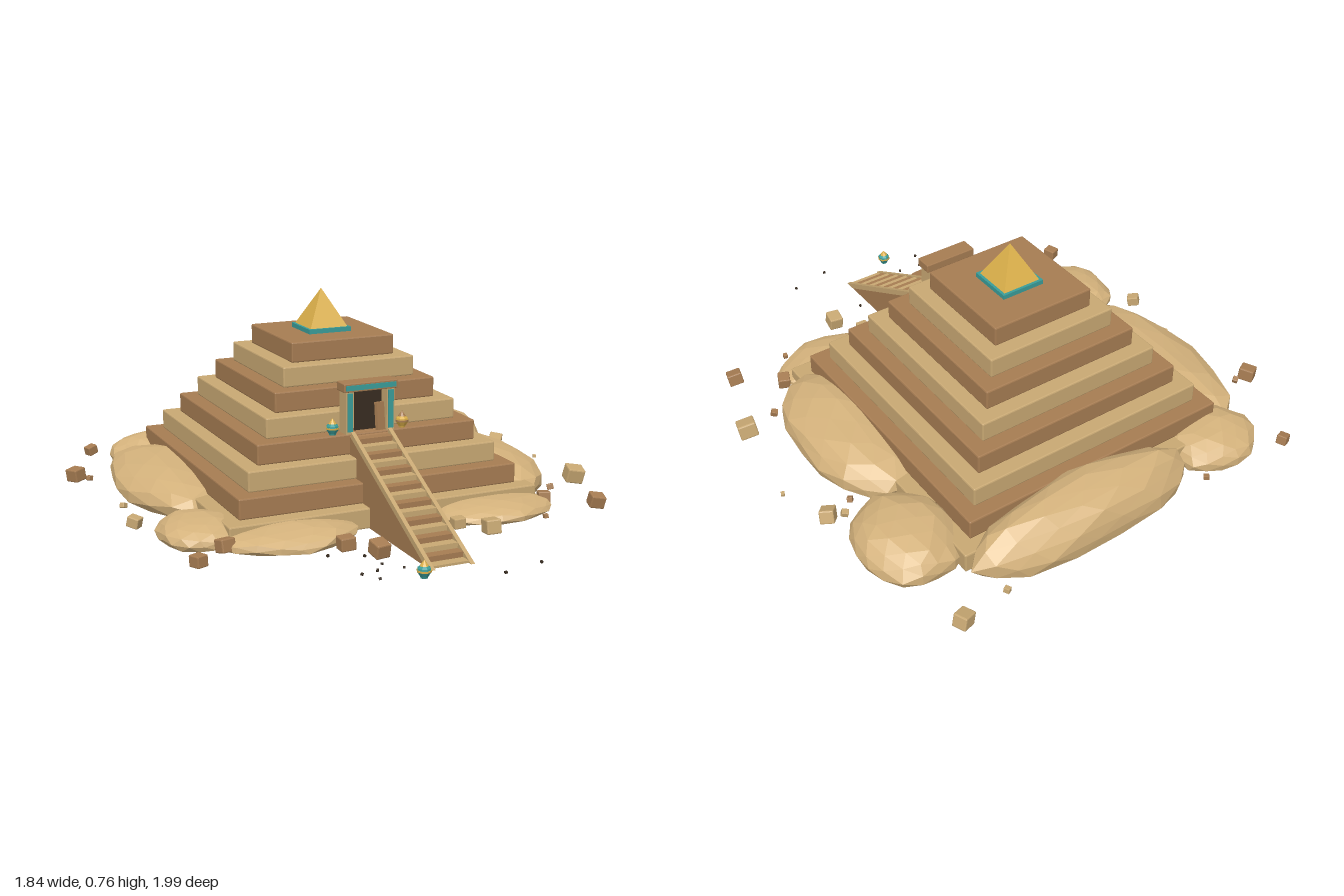
import * as THREE from 'three';
import { RoundedBoxGeometry } from 'three/addons/geometries/RoundedBoxGeometry.js';

const paint = (name, color) => {
  const m = new THREE.MeshStandardMaterial({ color });
  m.name = name;
  return m;
};

export function createModel() {
  const model = new THREE.Group();
  model.name = 'steppedPyramid';

  const tan = paint('tan stone', 0xc8a873);
  const brown = paint('brown stone', 0xa67c52);
  const sand = paint('sand', 0xd4b27c);
  const gold = paint('gold', 0xdcb04a);
  const teal = paint('teal', 0x3a9c98);
  const dark = paint('dark doorway', 0x382c20);

  const CX = -0.0125, CZ = -0.19;

  const add = (name, geo, mat, x = 0, y = 0, z = 0, parent = model) => {
    const mesh = new THREE.Mesh(geo, mat);
    mesh.name = name;
    mesh.position.set(x, y, z);
    parent.add(mesh);
    return mesh;
  };
  const flat = (geo) => {
    const g = geo.index ? geo.toNonIndexed() : geo;
    g.computeVertexNormals();
    return g;
  };
  const block = (w, h, d, r) => flat(new RoundedBoxGeometry(w, h, d, 1, r));
  const box = (w, h, d) => new THREE.BoxGeometry(w, h, d);

  // Eight stacked tiers in alternating stone
  for (let i = 0; i < 8; i++) {
    const w = 2 * (0.597 - 0.056 * i);
    add('tier' + (i + 1), block(w, 0.075, w, 0.005), i % 2 ? brown : tan, CX, 0.0375 + 0.075 * i, CZ);
  }

  // Capstone
  add('capstoneBase', box(0.17, 0.017, 0.17), teal, CX, 0.6085, CZ);
  const cone = new THREE.ConeGeometry(0.075 * Math.SQRT2, 0.14, 4, 1);
  cone.rotateY(Math.PI / 4);
  add('capstone', flat(cone), gold, CX, 0.687, CZ);

  // Portal
  const portal = new THREE.Group();
  portal.name = 'portal';
  portal.position.set(CX, 0, 0);
  model.add(portal);
  add('doorway', box(0.15, 0.155, 0.02), dark, 0, 0.378, 0.19, portal);
  for (const s of [-1, 1]) {
    add('jamb', box(0.03, 0.155, 0.055), tan, s * 0.08, 0.378, 0.2175, portal);
    add('jambInlay', box(0.02, 0.14, 0.008), teal, s * 0.08, 0.38, 0.246, portal);
  }
  add('lintel', block(0.21, 0.032, 0.066, 0.003), brown, 0, 0.47, 0.218, portal);
  add('lintelInlay', box(0.195, 0.018, 0.006), teal, 0, 0.47, 0.252, portal);
  const slab = add('brokenDoor', box(0.034, 0.1, 0.015), brown, 0.047, 0.352, 0.225, portal);
  slab.rotation.set(-0.12, 0.25, 0);

  // Staircase: solid wedge, sloped side rims and steps between them
  const stairs = new THREE.Group();
  stairs.name = 'staircase';
  stairs.position.x = -0.01;
  model.add(stairs);
  const FOOT = 0.866, SLOPE = 0.503;
  const rise = (z) => SLOPE * (FOOT - z);
  const sideProfile = (points, width) => {
    const shape = new THREE.Shape(points.map(([z, y]) => new THREE.Vector2(z, y)));
    const g = new THREE.ExtrudeGeometry(shape, { depth: width, bevelEnabled: false });
    g.translate(0, 0, -width / 2);
    return g.rotateY(-Math.PI / 2);
  };
  const wedge = [[0.22, 0], [FOOT - 0.045, 0], [0.22, rise(0.22) - 0.0226]];
  add('stairWedge', sideProfile(wedge, 0.16), brown, 0, 0, 0, stairs);
  const rim = [[FOOT - 0.046, 0], [FOOT, 0], [0.25, rise(0.25)], [0.25, rise(0.25) - 0.023]];
  for (const s of [-1, 1]) add('stairRim', sideProfile(rim, 0.015), tan, s * 0.0728, 0, 0, stairs);
  const STEPS = 16, run = 0.6 / STEPS;
  for (let i = 0; i < STEPS; i++) {
    const front = 0.85 - i * run, top = rise(front), h = Math.min(top, 0.03);
    add('step', box(0.132, h, run), i % 2 ? brown : tan, 0, top - h / 2, front - run / 2, stairs);
  }

  // Small urns: two flank the door, one lies at the foot of the stairs
  const urnBody = flat(new THREE.LatheGeometry(
    [[0, 0], [0.012, 0], [0.014, 0.006], [0.024, 0.022], [0.022, 0.034], [0.012, 0.042]]
      .map(([x, y]) => new THREE.Vector2(x, y)), 8));
  const urnLid = flat(new THREE.ConeGeometry(0.015, 0.02, 8));
  const urn = (x, y, z, body, lid) => {
    const g = new THREE.Group();
    g.name = 'urn';
    g.position.set(x, y, z);
    model.add(g);
    add('urnBody', urnBody, body, 0, 0, 0, g);
    add('urnLid', urnLid, lid, 0, 0.051, 0, g);
    add('urnBand', new THREE.CylinderGeometry(0.025, 0.025, 0.006, 8), lid, 0, 0.025, 0, g);
  };
  urn(-0.15, 0.3, 0.222, teal, gold);
  urn(0.125, 0.3, 0.222, gold, brown);
  urn(-0.14, 0, 0.91, teal, gold);

  // Faceted sand drifts with flat undersides: x, z, half width, half depth, height
  const drifts = [
    [-0.51, -0.77, 0.175, 0.155, 0.11], [0.12, -0.82, 0.46, 0.14, 0.19],
    [-0.59, -0.32, 0.2, 0.42, 0.135], [-0.66, 0.25, 0.15, 0.175, 0.085],
    [-0.395, 0.4, 0.255, 0.165, 0.07], [0.385, 0.42, 0.23, 0.155, 0.06],
    [0.57, 0.0, 0.2, 0.37, 0.145], [0.68, -0.57, 0.18, 0.21, 0.13],
  ];
  drifts.forEach(([x, z, rx, rz, h], k) => {
    const g = new THREE.IcosahedronGeometry(1, 2);
    g.rotateY(k * 1.3);
    const p = g.attributes.position;
    for (let i = 0; i < p.count; i++) {
      const a = p.getX(i), b = p.getY(i), c = p.getZ(i);
      const n = 1 + 0.06 * Math.sin(a * 5.1 + k * 2) * Math.cos(c * 4.3 + b * 3 + k);
      p.setXYZ(i, a * rx * n, Math.max(0, h * (0.25 + 0.75 * b * n)), c * rz * n);
    }
    add('sandDrift', flat(g), sand, x, 0, z);
  });

  // Fallen blocks: x, z, size
  const scatter = (list, name, mat) => list.forEach(([x, z, s], i) => {
    const m = add(name, block(s, s * 0.85, s * 0.9, s * 0.08), mat, x, s * 0.52, z);
    m.rotation.set(0.25 * Math.sin(i * 2.1), i * 1.7 + 0.4, 0.25 * Math.cos(i * 3.3));
  });
  scatter([
    [-0.735, -0.92, 0.042], [-0.885, -0.57, 0.058], [-0.835, -0.56, 0.022], [-0.375, -0.905, 0.02],
    [0.73, -0.28, 0.022], [0.73, 0.28, 0.025], [0.615, 0.415, 0.05], [0.765, 0.535, 0.055],
    [0.53, 0.565, 0.018], [-0.26, 0.58, 0.055], [-0.185, 0.68, 0.06], [-0.635, 0.435, 0.055],
    [-0.76, 0.53, 0.048],
  ], 'fallenBrownBlock', brown);
  scatter([
    [0.715, -0.97, 0.058], [0.52, -0.935, 0.022], [-0.81, -0.17, 0.022], [-0.835, 0.06, 0.045],
    [0.84, -0.32, 0.058], [0.78, -0.33, 0.025], [0.91, -0.12, 0.015], [0.865, 0.235, 0.068],
    [0.265, 0.635, 0.06], [0.19, 0.535, 0.045],
  ], 'fallenTanBlock', tan);
  scatter([
    [-0.34, 0.61], [-0.23, 0.66], [-0.21, 0.75], [-0.31, 0.81], [-0.25, 0.80], [-0.275, 0.87],
    [-0.16, 0.81], [0.1, 0.5], [0.11, 0.69], [0.115, 0.985], [0.27, 0.95],
  ].map(([x, z]) => [x, z, 0.009]), 'chip', dark);

  return model;
}
